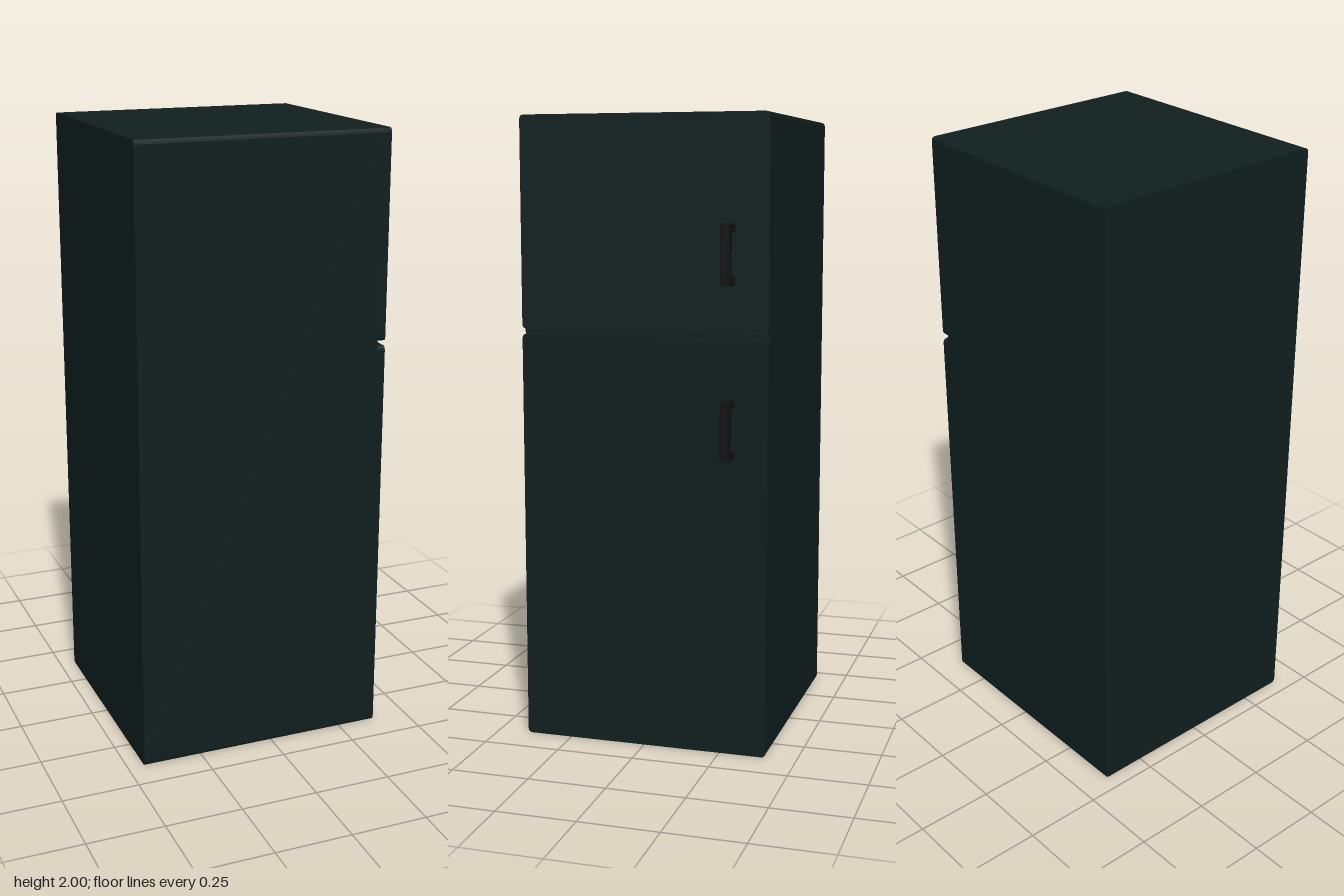
import * as THREE from 'three';

const shell = new THREE.MeshStandardMaterial({ color: 0x101f1f });
const black = new THREE.MeshStandardMaterial({ color: 0x111111 });

// Slab with rounded edges running along x, spanning x0..x1, y0..y1 and the full depth
function slab(name, x0, x1, y0, y1) {
  const r = 0.014, d = 0.4;
  const s = new THREE.Shape();
  s.moveTo(-d + r, y0);
  s.lineTo(d - r, y0);
  s.quadraticCurveTo(d, y0, d, y0 + r);
  s.lineTo(d, y1 - r);
  s.quadraticCurveTo(d, y1, d - r, y1);
  s.lineTo(-d + r, y1);
  s.quadraticCurveTo(-d, y1, -d, y1 - r);
  s.lineTo(-d, y0 + r);
  s.quadraticCurveTo(-d, y0, -d + r, y0);
  const g = new THREE.ExtrudeGeometry(s, { depth: x1 - x0, bevelEnabled: false, curveSegments: 3 });
  g.rotateY(Math.PI / 2).translate(x0, 0, 0);
  const mesh = new THREE.Mesh(g, shell);
  mesh.name = name;
  return mesh;
}

// Square-cornered pull handle standing out from the door face
function handle(name, y0, y1) {
  const x0 = 0.375, x1 = 0.443, t = 0.026, b = 0.004;
  const pts = [
    [x0, y0], [x1, y0], [x1, y1], [x0, y1],
    [x0, y1 - t], [x1 - t, y1 - t], [x1 - t, y0 + t], [x0, y0 + t],
  ].map(([x, y]) => new THREE.Vector2(x, y));
  const g = new THREE.ExtrudeGeometry(new THREE.Shape(pts), {
    depth: 0.03 - 2 * b, bevelSize: b, bevelOffset: -b, bevelThickness: b, bevelSegments: 1,
  });
  g.translate(0, 0, -0.295 + b);
  const mesh = new THREE.Mesh(g, black);
  mesh.name = name;
  return mesh;
}

export function createModel() {
  const fridge = new THREE.Group();
  fridge.name = 'refrigerator';
  const doorBack = 0.35, doorFace = 0.377;
  fridge.add(
    slab('cabinet', -0.446, doorBack, 0, 2),
    slab('lowerDoor', doorBack, doorFace, 0, 1.319),
    slab('freezerDoor', doorBack, doorFace, 1.335, 2),
    handle('lowerHandle', 0.95, 1.135),
    handle('freezerHandle', 1.483, 1.67),
  );
  return fridge;
}
